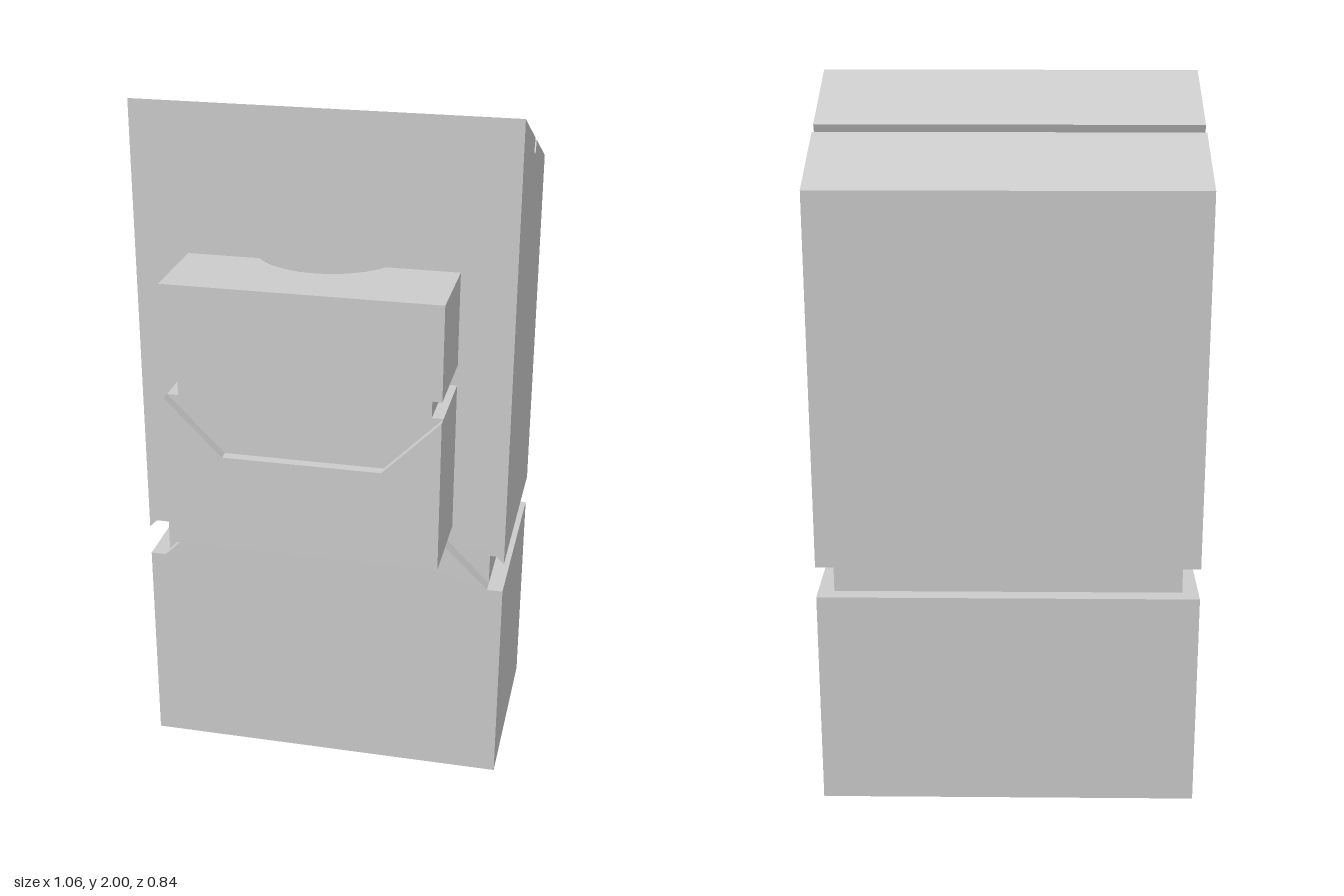
import * as THREE from 'three';

const material = new THREE.MeshStandardMaterial({ color: 0xcccccc, flatShading: true });
const smooth = new THREE.MeshStandardMaterial({ color: 0xcccccc, side: THREE.DoubleSide });

function add(group, name, geometry, mat = material) {
  const mesh = new THREE.Mesh(geometry, mat);
  mesh.name = name;
  group.add(mesh);
}

// Box given by half width and its y and z ranges
function block(halfWidth, y0, y1, z0, z1) {
  return new THREE.BoxGeometry(halfWidth * 2, y1 - y0, z1 - z0)
    .translate(0, (y0 + y1) / 2, (z0 + z1) / 2);
}

function polygon(points) {
  return new THREE.Shape(points.map(([x, y]) => new THREE.Vector2(x, y)));
}

// Front plate from the right half of its outline, mirrored in x
function plate(half, z0, z1) {
  const mirrored = half.map(([x, y]) => [-x, y]).reverse();
  return new THREE.ExtrudeGeometry(polygon([...half, ...mirrored]), { depth: z1 - z0, bevelEnabled: false })
    .translate(0, 0, z0);
}

export function createModel() {
  const model = new THREE.Group();

  const body = new THREE.Group();
  body.name = 'body';
  model.add(body);

  // Lower body, recessed seam and upper body with sloping grooved roof
  add(body, 'lowerBody', block(0.53, 0, 0.625, -0.42, 0.12));
  add(body, 'seamCore', block(0.485, 0.6, 0.74, -0.375, 0.12));
  const W = 0.53;
  const side = polygon([
    [-0.42, 0.715], [0.12, 0.715], [0.12, 1.2], [0.16, 1.2], [0.16, 2],
    [-0.118, 1.883], [-0.103, 1.847], [-0.14, 1.832], [-0.155, 1.868], [-0.42, 1.757],
  ]);
  add(body, 'upperBody', new THREE.ExtrudeGeometry(side, { depth: W * 2, bevelEnabled: false })
    .rotateY(-Math.PI / 2).translate(W, 0, 0));

  // Front plates leave a slanted groove that climbs behind the front box
  add(body, 'lowerFrontPlate', plate(
    [[W, 0], [W, 0.625], [0.485, 0.625], [0.25, 0.86]], 0.12, 0.16));
  add(body, 'upperFrontPlate', plate(
    [[0.29, 0.955], [W, 0.715], [W, 1.2]], 0.12, 0.16));

  // Front box with its own seam and V-shaped front groove
  const box = new THREE.Group();
  box.name = 'frontBox';
  model.add(box);
  const B = 0.378;
  add(box, 'boxLower', block(B, 0.82, 1.255, 0.16, 0.39));
  add(box, 'boxSeamCore', block(0.347, 1.24, 1.33, 0.16, 0.39));
  add(box, 'boxUpper', block(B, 1.315, 1.47, 0.16, 0.39));
  add(box, 'boxLowerPlate', plate(
    [[B, 0.82], [B, 1.255], [0.22, 1.095]], 0.39, 0.42));
  add(box, 'boxUpperPlate', plate(
    [[0.2, 1.165], [0.347, 1.315], [B, 1.315], [B, 1.47]], 0.39, 0.42));

  // Box top cut by a round recess that meets the body
  const top = new THREE.Shape();
  top.moveTo(-B, -0.42);
  top.lineTo(B, -0.42);
  top.lineTo(B, -0.16);
  top.lineTo(0.175, -0.16);
  top.absarc(0, -0.035, 0.215, -0.62, -Math.PI + 0.62, true);
  top.lineTo(-B, -0.16);
  add(box, 'boxTop', new THREE.ExtrudeGeometry(top, { depth: 0.11, bevelEnabled: false, curveSegments: 24 })
    .rotateX(-Math.PI / 2).translate(0, 1.47, 0));

  // Dished wall of the recess
  const dish = [[0.135, 1.471], [0.145, 1.505], [0.16, 1.535], [0.18, 1.56], [0.215, 1.58]]
    .map(([r, y]) => new THREE.Vector2(r, y));
  add(box, 'recessDish', new THREE.LatheGeometry(dish, 24, -0.95, 1.9).translate(0, 0, 0.035), smooth);

  return model;
}
